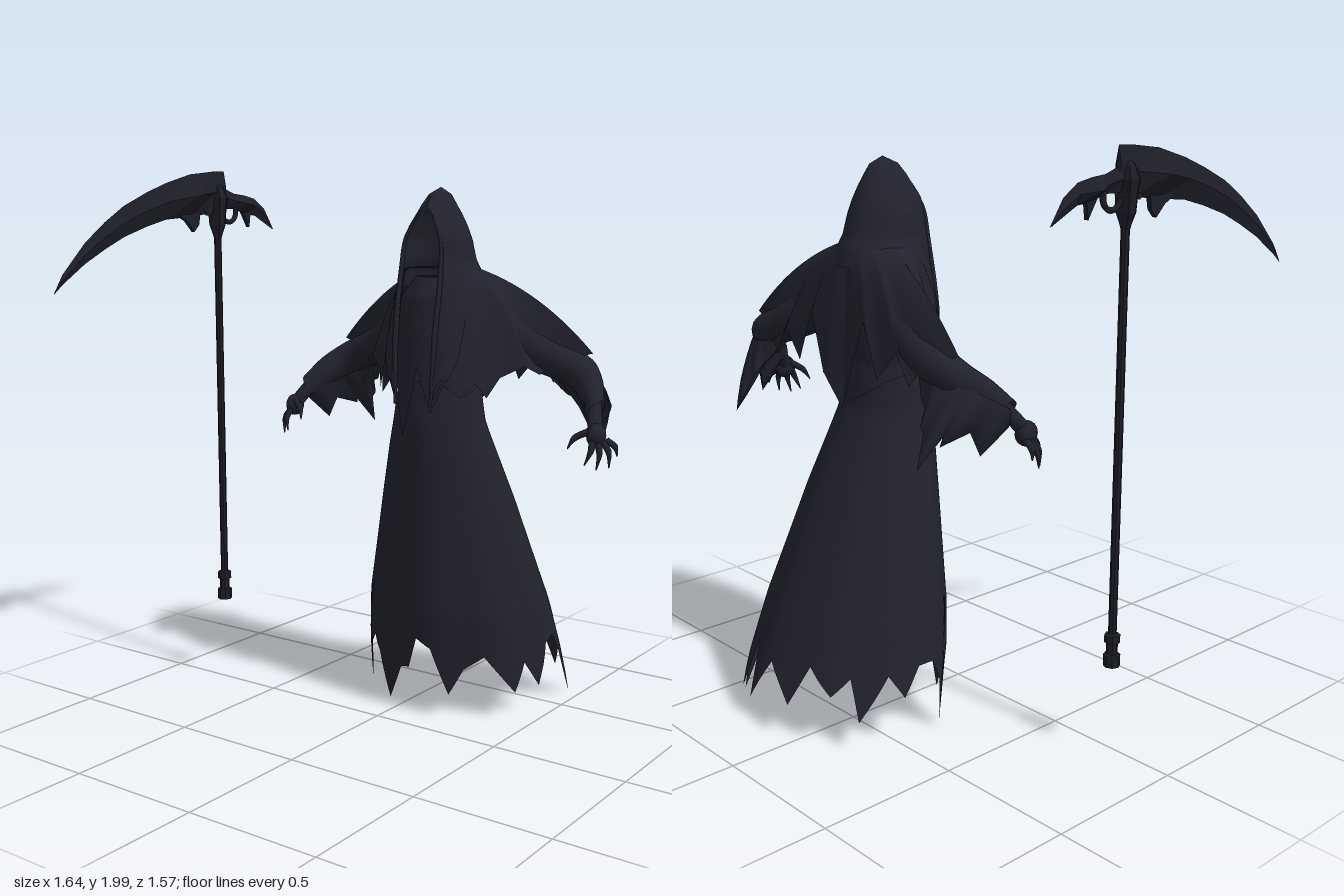
import * as THREE from 'three';
import { ParametricGeometry } from 'three/addons/geometries/ParametricGeometry.js';

const mat = (name, color) => {
  const m = new THREE.MeshStandardMaterial({ color, side: THREE.DoubleSide });
  m.name = name;
  return m;
};
const CLOTH = mat('midnight cloth', 0x22222e);
const SKIN = mat('shadow skin', 0x20202b);
const METAL = mat('dark metal', 0x1d1d27);

const lerp = THREE.MathUtils.lerp;
const V = (p) => new THREE.Vector3(...p);

// Interpolates the rows of a table keyed on its first column
function at(T, k) {
  let i = 1;
  while (i < T.length - 1 && T[i][0] < k) i++;
  const a = T[i - 1], b = T[i];
  const f = THREE.MathUtils.clamp((k - a[0]) / (b[0] - a[0]), 0, 1);
  return a.map((v, j) => lerp(v, b[j], f));
}
// Interpolates evenly spaced points, t from 0 to 1
const along = (P, t) => at(P.map((p, i) => [i / (P.length - 1), ...p]), t).slice(1);

function add(group, name, geometry, material) {
  const m = new THREE.Mesh(geometry, material);
  m.name = name;
  group.add(m);
  return m;
}
const sheet = (nu, nv, fn) => new ParametricGeometry((u, v, t) => t.set(...fn(u, v)), nu, nv);

// Flat facets
function faceted(g) {
  const f = g.index ? g.toNonIndexed() : g;
  f.computeVertexNormals();
  return f;
}

// Point on a ring with a slightly narrowed front; row is [y, halfWidth, zFront, zBack]
function ring([y, hw, zf, zb], angle, swell = 1) {
  const c = Math.cos(angle), depth = c > 0 ? c ** 1.2 : c;
  return [hw * swell * Math.sin(angle), y, (zf + zb) / 2 + (zf - zb) / 2 * swell * depth];
}

// Tapered tube through points
function limb(pts, radii, sides = 10) {
  const curve = new THREE.CatmullRomCurve3(pts.map(V));
  const dir = V(pts[pts.length - 1]).sub(V(pts[0])).normalize();
  const a = new THREE.Vector3(0, 0, 1).cross(dir).normalize();
  const b = dir.clone().cross(a);
  return sheet(sides, pts.length * 4, (u, v) => {
    const r = along(radii.map((x) => [x]), v)[0], w = u * Math.PI * 2;
    return curve.getPoint(THREE.MathUtils.clamp(v, 0, 1))
      .addScaledVector(a, r * Math.cos(w)).addScaledVector(b, r * Math.sin(w)).toArray();
  });
}

// Robe skirt: [y, halfWidth, zFront, zBack], hem: [degrees from front, y]
const SKIRT = [[0, .405, -.125, -.83], [.2, .393, -.11, -.755], [.4, .366, -.1, -.68], [.6, .315, -.1, -.6],
  [.8, .265, -.1, -.52], [1, .21, -.1, -.43], [1.1, .18, -.1, -.39], [1.25, .16, -.12, -.37]];
const HEM = [[0, .3], [9, .27], [18, .1], [27, .2], [39, .25], [54, .11], [63, .22], [72, .12], [84, .28],
  [96, .3], [108, .22], [120, .01], [129, .22], [141, .08], [150, .27], [162, .1], [174, .25], [192, .14],
  [201, .28], [216, .2], [225, .26], [234, .12], [246, .27], [258, .19], [267, .28], [282, .28], [291, .2],
  [300, .02], [309, .2], [321, .25], [330, .2], [339, .03], [348, .17], [354, .18], [360, .3]];
// Upper robe
const TORSO = [[1.0, .212, -.092, -.44], [1.1, .185, -.092, -.4], [1.25, .168, -.1, -.39], [1.42, .18, -.11, -.42],
  [1.55, .16, -.13, -.41], [1.62, .1, -.17, -.36]];
const TORSO_HEM = [[0, 1.3], [18, 1.14], [33, 1.24], [60, 1.2], [90, 1.24], [135, 1.18], [180, 1.12], [225, 1.2],
  [270, 1.24], [300, 1.18], [321, 1.22], [342, 1.05], [360, 1.3]];
// Hood: [y, halfWidth, zFront, zBack, opening halfWidth]
const HOOD = [[1.58, .15, -.115, -.43, .085], [1.64, .136, -.12, -.415, .082], [1.68, .119, -.124, -.395, .08],
  [1.75, .109, -.13, -.375, .075], [1.8, .092, -.136, -.357, .06], [1.84, .073, -.145, -.34, .03],
  [1.87, .055, -.155, -.325, .001], [1.91, .032, -.19, -.3, 0], [1.935, 0, -.25, -.25, 0]];
// Mantle hem from the front edge round to the middle of the back
const MANTLE = [[.075, 1.18, -.075], [.11, 1.25, -.09], [.17, 1.2, -.13], [.2, 1.25, -.17], [.23, 1.2, -.2],
  [.26, 1.27, -.24], [.33, 1.31, -.29], [.37, 1.28, -.33], [.42, 1.33, -.36], [.54, 1.36, -.4], [.43, 1.33, -.43],
  [.36, 1.24, -.45], [.3, 1.34, -.45], [.21, 1.24, -.46], [.14, 1.42, -.455], [.07, 1.22, -.465], [0, 1.1, -.44]];

function mantlePoint(u, v) {
  const full = [...MANTLE, ...MANTLE.slice(0, -1).reverse().map(([x, y, z]) => [-x, y, z])];
  const hem = along(full, u);
  const neck = ring([1.65, .125, -.11, -.4], THREE.MathUtils.degToRad(36 + 288 * u));
  const mid = [lerp(neck[0], hem[0], .54), 1.575, lerp(neck[2], hem[2], .65)];
  return hem.map((h, i) => (1 - v) ** 2 * neck[i] + 2 * v * (1 - v) * mid[i] + v * v * h);
}

function buildArm(s) {
  const arm = new THREE.Group();
  arm.name = s > 0 ? 'leftArm' : 'rightArm';
  const P = (pts) => pts.map(([x, y, z]) => [s * x, y, z]);
  add(arm, 'sleeve', limb(P([[.2, 1.43, -.34], [.36, 1.345, -.385], [.5, 1.29, -.39], [.57, 1.24, -.335], [.62, 1.18, -.27]]),
    [.09, .07, .062, .054, .042], 16), CLOTH);
  // Ragged drape hanging from both sides of the sleeve
  const top = [[.63, 1.2, -.27], [.58, 1.24, -.33], [.52, 1.28, -.385], [.44, 1.31, -.4], [.36, 1.33, -.39]];
  const low = [[.63, 1.13, -.27], [.595, 1.045, -.36], [.57, 1.12, -.38], [.55, 1.09, -.49], [.53, 1.11, -.46],
    [.5, 1.015, -.54], [.475, 1.12, -.49], [.46, 1.14, -.49], [.45, 1.19, -.46], [.42, 1.2, -.45], [.36, 1.29, -.41]];
  for (const k of [-1, 1]) {
    add(arm, 'sleeveDrape', sheet(20, 6, (u, v) => {
      const a = along(top, u), b = along(low, u), w = k * .045 * (1 - v * v);
      return [s * (lerp(a[0], b[0], v) + w * .8), lerp(a[1], b[1], v), lerp(a[2], b[2], v) - w * .6];
    }), CLOTH);
  }
  // Bare wrist, palm and fingers
  add(arm, 'wrist', limb(P([[.58, 1.23, -.31], [.62, 1.17, -.26], [.65, 1.11, -.215]]), [.035, .026, .026]), SKIN);
  const palm = add(arm, 'palm', new THREE.SphereGeometry(.042, 12, 8), SKIN);
  palm.scale.set(.75, 1, 1);
  palm.position.set(s * .652, 1.105, -.215);
  const tips = [[.715, 1.035, -.25], [.705, 1.0, -.21], [.675, .995, -.175], [.64, 1.01, -.155], [.575, 1.06, -.155]];
  tips.forEach(([x, y, z], i) => {
    const root = i < 4 ? [.675 - i * .008, 1.09, -.238 + i * .016] : [.635, 1.12, -.2];
    const knuckle = [lerp(root[0], x, .55) + (i < 4 ? .012 : -.01), lerp(root[1], y, .4), lerp(root[2], z, .6)];
    add(arm, i < 4 ? 'finger' : 'thumb', limb(P([root, knuckle, [x, y, z]]), [.014, .011, .002], 7), SKIN);
  });
  // Hanging front edge of the hood and mantle
  const edge = [[.03, 1.84, -.15], [.072, 1.76, -.135], [.083, 1.65, -.123], [.083, 1.42, -.088], [.075, 1.17, -.075]];
  add(arm, 'hoodEdge', limb(P(edge), [.004, .007, .009, .011, .006], 8), CLOTH);
  // Lapel lying on the mantle
  add(arm, 'lapel', sheet(4, 16, (u, v) => {
    const [x, y, z] = mantlePoint(u * .16 * (1 - .75 * v), lerp(.02, .97, v));
    return [s * x, y, z + .008];
  }), CLOTH);
  return arm;
}

function buildFigure() {
  const g = new THREE.Group();
  g.name = 'hoodedFigure';
  g.position.x = .1;
  const robe = (rows, hem, top, fold) => sheet(120, 24, (u, v) => {
    const a = u * Math.PI * 2, y = lerp(top, at(hem, u * 360)[1], v);
    return ring(at(rows, y), a, 1 + fold * Math.sin(9 * a) * (1 - y / 1.25));
  });
  add(g, 'robeSkirt', robe(SKIRT, HEM, 1.25, .02), CLOTH);
  add(g, 'upperRobe', robe(TORSO, TORSO_HEM, 1.62, 0), CLOTH);
  // The front half is drawn forward so that the rim reaches zFront
  add(g, 'hood', sheet(40, 28, (u, v) => {
    const [y, hw, zf, zb, gap] = at(HOOD, lerp(1.58, 1.935, v));
    const a0 = Math.asin(Math.min(gap / Math.max(hw, .001), 1)), a = lerp(a0, Math.PI * 2 - a0, u);
    const c = (zf + zb) / 2, cos = Math.cos(a);
    return [hw * Math.sin(a), y, c + (zf - c) * (cos > 0 ? cos / Math.cos(a0) : cos)];
  }), CLOTH);
  add(g, 'mantle', sheet(64, 14, mantlePoint), CLOTH);
  g.add(buildArm(1), buildArm(-1));
  return g;
}

// Diamond-section blade; rows are [z, top, bottom, halfWidth]
const blade = (rows) => faceted(sheet(4, rows.length - 1, (u, v) => {
  const [z, top, bot, hw] = along(rows, v), a = u * Math.PI * 2;
  return [hw * Math.sin(a), (top + bot) / 2 + (top - bot) / 2 * Math.cos(a), z];
}));

function buildScythe() {
  const g = new THREE.Group();
  g.name = 'scythe';
  g.position.x = -.77;
  const turned = (name, pts, sides) => {
    const m = add(g, name, faceted(new THREE.LatheGeometry(pts.map(([r, y]) => new THREE.Vector2(r, y)), sides)), METAL);
    m.position.z = -.025;
    return m;
  };
  turned('pole', [[.014, .36], [.014, 1.78]], 8);
  turned('poleFoot', [[0, .325], [.028, .325], [.028, .365], [.019, .368], [.019, .405], [.026, .408], [.026, .435], [.014, .438]], 8);
  turned('socket', [[.014, 1.74], [.024, 1.77], [.037, 1.8], [.042, 1.86], [.05, 1.9], [.03, 1.94], [0, 1.965]], 8).scale.z = .65;
  add(g, 'mainBlade', blade([[.79, 1.575, 1.572, .001], [.75, 1.637, 1.604, .005], [.645, 1.742, 1.672, .01],
    [.55, 1.812, 1.72, .013], [.46, 1.867, 1.76, .016], [.35, 1.914, 1.795, .02], [.25, 1.95, 1.82, .025],
    [.12, 1.985, 1.83, .055], [0, 1.998, 1.845, .02], [-.065, 2, 1.88, .012], [-.072, 1.95, 1.9, .001]]), METAL);
  add(g, 'backSpike', blade([[-.03, 1.95, 1.86, .014], [-.12, 1.918, 1.86, .018], [-.18, 1.912, 1.84, .048],
    [-.24, 1.9, 1.835, .015], [-.3, 1.86, 1.805, .01], [-.35, 1.785, 1.78, .001]]), METAL);
  // Barbs under the blades, drawn in z and y
  const barbs = [[[.2, 1.84], [.15, 1.815], [.11, 1.775], [.085, 1.8], [.075, 1.85]],
    [[.06, 1.86], [.03, 1.835], [.01, 1.84], [0, 1.87]], [[-.15, 1.87], [-.2, 1.79], [-.21, 1.86]]];
  for (const b of barbs) {
    const e = new THREE.ExtrudeGeometry(new THREE.Shape(b.map(([x, y]) => new THREE.Vector2(x, y))),
      { depth: .016, bevelEnabled: false });
    add(g, 'barb', e.translate(0, 0, -.008).rotateY(-Math.PI / 2), METAL);
  }
  const hook = add(g, 'hookRing', new THREE.TorusGeometry(.04, .01, 6, 14, Math.PI * 1.1), METAL);
  hook.rotation.set(0, Math.PI / 2, 0);
  hook.rotateZ(-Math.PI * .95);
  hook.position.set(0, 1.85, -.09);
  return g;
}

export function createModel() {
  const model = new THREE.Group();
  model.name = 'hoodedReaper';
  model.add(buildFigure(), buildScythe());
  return model;
}
